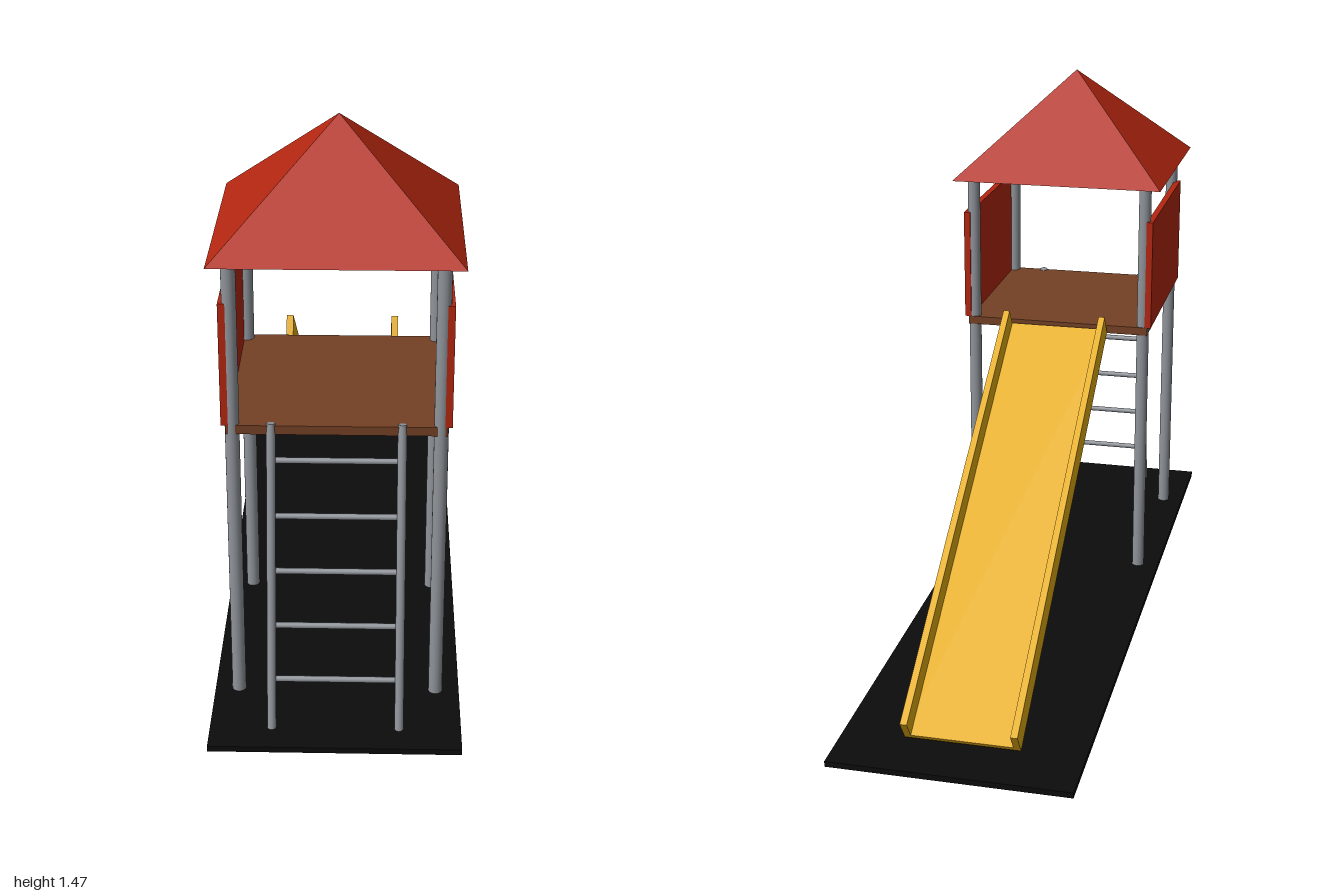
import * as THREE from 'three';

const mat = (name, color) => {
  const m = new THREE.MeshStandardMaterial({ color });
  m.name = name;
  return m;
};

export function createModel() {
  const red = mat('red', 0xb42610);
  const yellow = mat('yellow', 0xe6ae10);
  const brown = mat('brown', 0x744125);
  const grey = mat('metal grey', 0x8f949a);
  const black = mat('black', 0x0c0c0c);

  const group = new THREE.Group();
  group.name = 'playTower';

  const add = (name, geometry, material, parent = group) => {
    const mesh = new THREE.Mesh(geometry, material);
    mesh.name = name;
    parent.add(mesh);
    return mesh;
  };
  // Box given by its lower and upper corners
  const box = (name, min, max, material, parent) => {
    const s = max.map((v, i) => v - min[i]);
    const mesh = add(name, new THREE.BoxGeometry(...s), material, parent);
    mesh.position.set(...max.map((v, i) => (v + min[i]) / 2));
    return mesh;
  };
  // Round bar between two points
  const bar = (name, a, b, radius, parent) => {
    const p = new THREE.Vector3(...a);
    const q = new THREE.Vector3(...b);
    const d = q.clone().sub(p);
    const mesh = add(name, new THREE.CylinderGeometry(radius, radius, d.length(), 20), grey, parent);
    mesh.position.copy(p).add(q).multiplyScalar(0.5);
    mesh.quaternion.setFromUnitVectors(new THREE.Vector3(0, 1, 0), d.normalize());
    return mesh;
  };

  // Ground mat
  box('groundMat', [-0.31, 0.008, -1], [0.31, 0.023, 1], black);

  // Tower: posts, floor and side panels
  for (const x of [-0.25, 0.25]) {
    for (const z of [0.255, 0.755]) bar('post', [x, 0.015, z], [x, 1.195, z], 0.0175);
  }
  box('floor', [-0.265, 0.757, 0.236], [0.265, 0.78, 0.77], brown);
  box('leftPanel', [0.258, 0.78, 0.236], [0.276, 1.093, 0.77], red);
  box('rightPanel', [-0.276, 0.78, 0.236], [-0.258, 1.093, 0.77], red);

  // Four-sided roof, closed underneath
  const roofGeometry = new THREE.ConeGeometry(0.3 * Math.SQRT2, 0.28, 4).toNonIndexed();
  roofGeometry.rotateY(Math.PI / 4);
  roofGeometry.computeVertexNormals();
  add('roof', roofGeometry, red).position.set(0, 1.332, 0.5);

  // Slide, built flat along -z from its upper end, then tilted
  const slide = new THREE.Group();
  slide.name = 'slide';
  const length = 1.312;
  box('slideBed', [-0.148, 0, -length], [0.148, 0.014, 0], yellow, slide);
  for (const s of [-1, 1]) {
    const x = s * 0.14;
    box('slideRail', [x - 0.009, 0, -length], [x + 0.009, 0.07, 0], yellow, slide);
  }
  slide.position.set(0, 0.76, 0.232);
  slide.rotation.x = -Math.atan2(0.732, 1.088);
  group.add(slide);

  // Leaning ladder
  const ladder = new THREE.Group();
  ladder.name = 'ladder';
  const leanZ = (y) => 0.924 - 0.207 * y;
  for (const x of [-0.157, 0.157]) {
    bar('ladderRail', [x, 0.003, leanZ(0.003)], [x, 0.783, leanZ(0.783)], 0.011, ladder);
  }
  for (let i = 0; i < 6; i++) {
    const y = 0.008 + i * 0.1365;
    const z = leanZ(y) - 0.006;
    bar('rung', [-0.157, y, z], [0.157, y, z], 0.0075, ladder);
  }
  group.add(ladder);

  return group;
}
